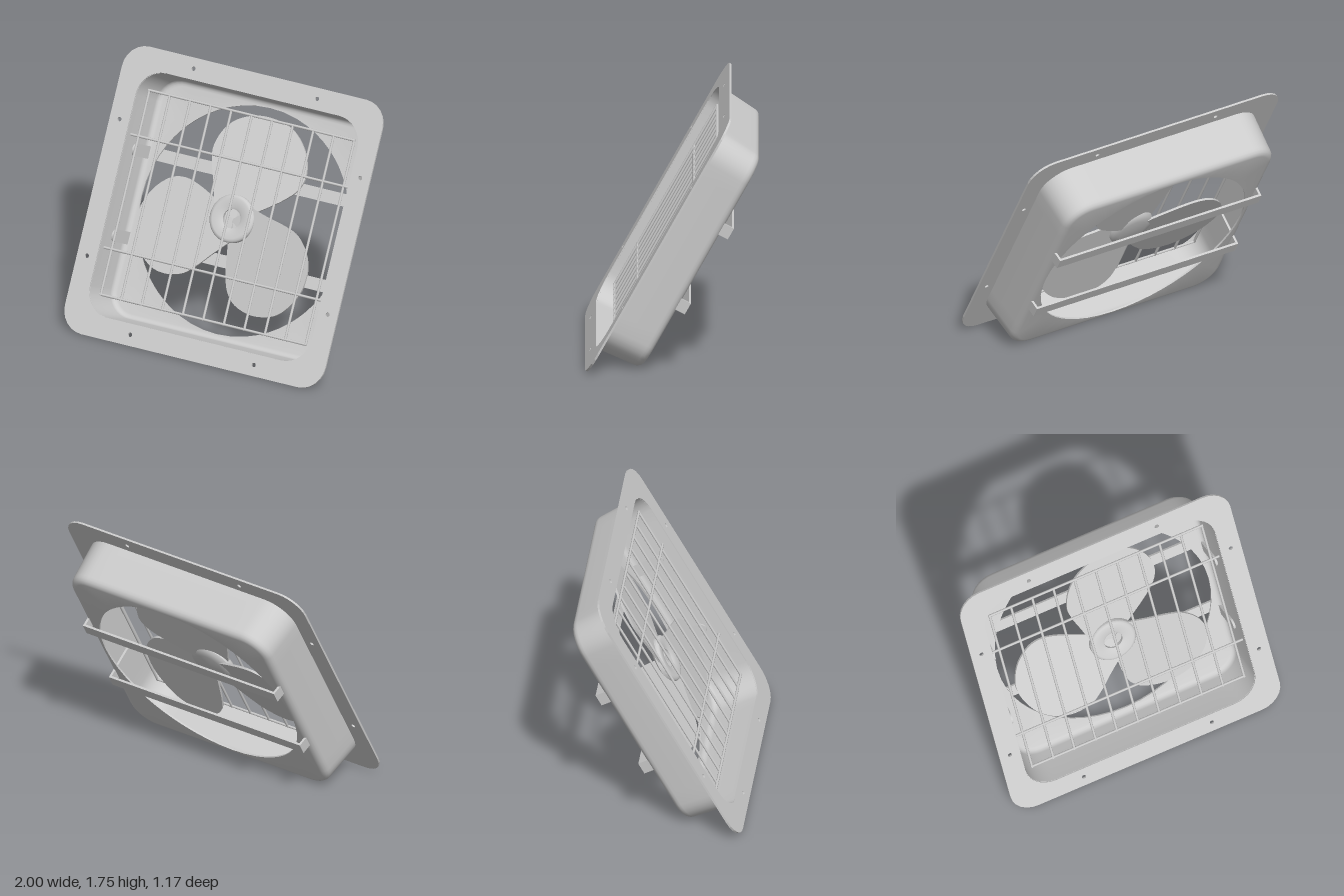
import * as THREE from 'three';
import { toCreasedNormals } from 'three/addons/utils/BufferGeometryUtils.js';

const material = new THREE.MeshStandardMaterial({ color: 0xcccccc, side: THREE.DoubleSide });

function add(parent, name, geometry, x = 0, y = 0, z = 0) {
  const mesh = new THREE.Mesh(geometry, material);
  mesh.name = name;
  mesh.position.set(x, y, z);
  parent.add(mesh);
  return mesh;
}

// Points of a square with rounded corners, counter-clockwise
function roundedSquare(half, radius, steps) {
  const points = [];
  for (let corner = 0; corner < 4; corner++) {
    const mid = Math.PI / 4 + corner * Math.PI / 2;
    const cx = Math.sign(Math.cos(mid)) * (half - radius);
    const cy = Math.sign(Math.sin(mid)) * (half - radius);
    for (let i = 0; i <= steps; i++) {
      const a = (corner + i / steps) * Math.PI / 2;
      points.push(new THREE.Vector2(cx + radius * Math.cos(a), cy + radius * Math.sin(a)));
    }
    // Extra points along the straight side, so that the round opening stays round
    const end = points[points.length - 1];
    const a = (corner + 1) * Math.PI / 2;
    const length = 2 * (half - radius);
    for (let i = 1; i < 12; i++) {
      const d = length * i / 12;
      points.push(new THREE.Vector2(end.x - Math.sin(a) * d, end.y + Math.cos(a) * d));
    }
  }
  return points;
}

// Closed skin through a ring of loops, each { points, z }
function loft(loops) {
  const positions = [], index = [];
  const n = loops[0].points.length;
  loops.forEach(({ points, z }) => points.forEach(p => positions.push(p.x, p.y, z)));
  for (let i = 0; i < loops.length; i++) {
    for (let j = 0; j < n; j++) {
      const next = (i + 1) % loops.length;
      const a = i * n + j, b = i * n + (j + 1) % n;
      const c = next * n + j, d = next * n + (j + 1) % n;
      index.push(a, c, b, b, c, d);
    }
  }
  const geometry = new THREE.BufferGeometry();
  geometry.setAttribute('position', new THREE.Float32BufferAttribute(positions, 3));
  geometry.setIndex(index);
  return toCreasedNormals(geometry, 0.6);
}

// Box-shaped housing with a filleted back and a round opening
function housingGeometry() {
  const wall = 0.012, back = -0.33, fillet = 0.05;
  const skin = inset => {
    const loops = [{ points: roundedSquare(0.862 - inset, 0.2 - inset, 8), z: 0 }];
    for (let i = 0; i <= 4; i++) {
      const t = i / 4 * Math.PI / 2, r = fillet - inset;
      const half = 0.79 + r * Math.cos(t);
      loops.push({
        points: roundedSquare(half, half - 0.65, 8),
        z: back + fillet - r * Math.sin(t),
      });
    }
    const rim = loops[loops.length - 1].points.map(p => p.clone().setLength(0.786));
    loops.push({ points: rim, z: back + inset });
    return loops;
  };
  return loft([...skin(0), ...skin(wall).reverse()]);
}

// Front flange with screw holes
function flangeGeometry() {
  const shape = new THREE.Shape(roundedSquare(1, 0.17, 6));
  shape.holes.push(new THREE.Path(roundedSquare(0.852, 0.19, 8)));
  for (const s of [-1, 1]) {
    for (const t of [-0.475, 0.475]) {
      for (const [x, y] of [[s * 0.925, t], [t, s * 0.925]]) {
        shape.holes.push(new THREE.Path().absarc(x, y, 0.015, 0, Math.PI * 2));
      }
    }
  }
  const geometry = new THREE.ExtrudeGeometry(shape, { depth: 0.014, bevelEnabled: false, curveSegments: 8 });
  return geometry.translate(0, 0, -0.007);
}

// Broad blade, sheared so that one edge lies further back
function bladeGeometry() {
  const edge = [[-0.15, 0.06], [-0.19, 0.2], [-0.235, 0.34], [-0.25, 0.45], [-0.205, 0.58],
    [-0.11, 0.675], [0.05, 0.725], [0.245, 0.69], [0.375, 0.565], [0.425, 0.415],
    [0.4, 0.3], [0.31, 0.2], [0.15, 0.08]].map(p => new THREE.Vector2(...p));
  const shape = new THREE.Shape().moveTo(0, 0).lineTo(edge[0].x, edge[0].y);
  shape.splineThru(edge.slice(1));
  shape.closePath();
  const geometry = new THREE.ExtrudeGeometry(shape, { depth: 0.016, bevelEnabled: false, curveSegments: 48 });
  const p = geometry.attributes.position;
  for (let i = 0; i < p.count; i++) p.setZ(i, p.getZ(i) - 0.163 - 0.148 * p.getX(i));
  geometry.computeVertexNormals();
  return toCreasedNormals(geometry, 0.6);
}

// Hub disc with a shallow recess in front
function hubGeometry() {
  const profile = [[0, -0.185], [0.1, -0.182], [0.15, -0.172], [0.165, -0.155], [0.165, -0.125],
    [0.155, -0.113], [0.14, -0.11], [0.08, -0.118], [0.066, -0.125], [0.066, -0.15], [0, -0.15]];
  const geometry = new THREE.LatheGeometry(profile.map(p => new THREE.Vector2(...p)), 40);
  return toCreasedNormals(geometry.rotateX(Math.PI / 2), 0.7);
}

// Wire guard of upright and crossing rods
function buildGuard() {
  const guard = new THREE.Group();
  guard.name = 'guard';
  const rod = length => new THREE.CylinderGeometry(0.009, 0.009, length, 8);
  for (let i = -5; i <= 5; i++) add(guard, 'uprightRod', rod(1.43), i * 0.1575, 0, -0.057);
  for (const [y, length] of [[0.712, 1.59], [0.393, 1.704], [-0.393, 1.704], [-0.708, 1.59]]) {
    add(guard, 'crossRod', rod(length).rotateZ(Math.PI / 2), 0, y, -0.057);
  }
  return guard;
}

// Rear strap with a round-ended leg reaching into the housing at each end
function buildStrap(y) {
  const strap = new THREE.Group();
  strap.name = 'rearStrap';
  strap.position.y = y;
  const w = 0.043, t = 0.016;
  add(strap, 'strapBar', new THREE.BoxGeometry(1.62, 2 * w, t), 0, 0, -0.387);
  const shape = new THREE.Shape().moveTo(0, -w).lineTo(0.25, -w);
  shape.absarc(0.25, 0, w, -Math.PI / 2, Math.PI / 2);
  shape.lineTo(0, w);
  const leg = new THREE.ExtrudeGeometry(shape, { depth: t, bevelEnabled: false, curveSegments: 8 });
  leg.translate(0, 0, -t / 2).rotateY(-Math.PI / 2);
  for (const s of [-1, 1]) {
    add(strap, 'strapLeg', leg, s * 0.802, 0, -0.395).rotation.y = s * 0.08;
  }
  return strap;
}

export function createModel() {
  const fan = new THREE.Group();
  fan.name = 'ventilationFan';
  add(fan, 'housing', housingGeometry());
  add(fan, 'flange', flangeGeometry());
  fan.add(buildGuard(), buildStrap(0.298), buildStrap(-0.298));

  // Rotor
  const rotor = new THREE.Group();
  rotor.name = 'rotor';
  add(rotor, 'hub', hubGeometry());
  const blade = bladeGeometry();
  for (let i = 0; i < 3; i++) add(rotor, 'blade', blade).rotation.z = i * Math.PI * 2 / 3;
  fan.add(rotor);

  // Whole fan leans back
  fan.rotation.x = -0.51;
  fan.position.set(0, 0.876, 0.092);
  const model = new THREE.Group();
  model.name = 'leaningFan';
  model.add(fan);
  return model;
}
